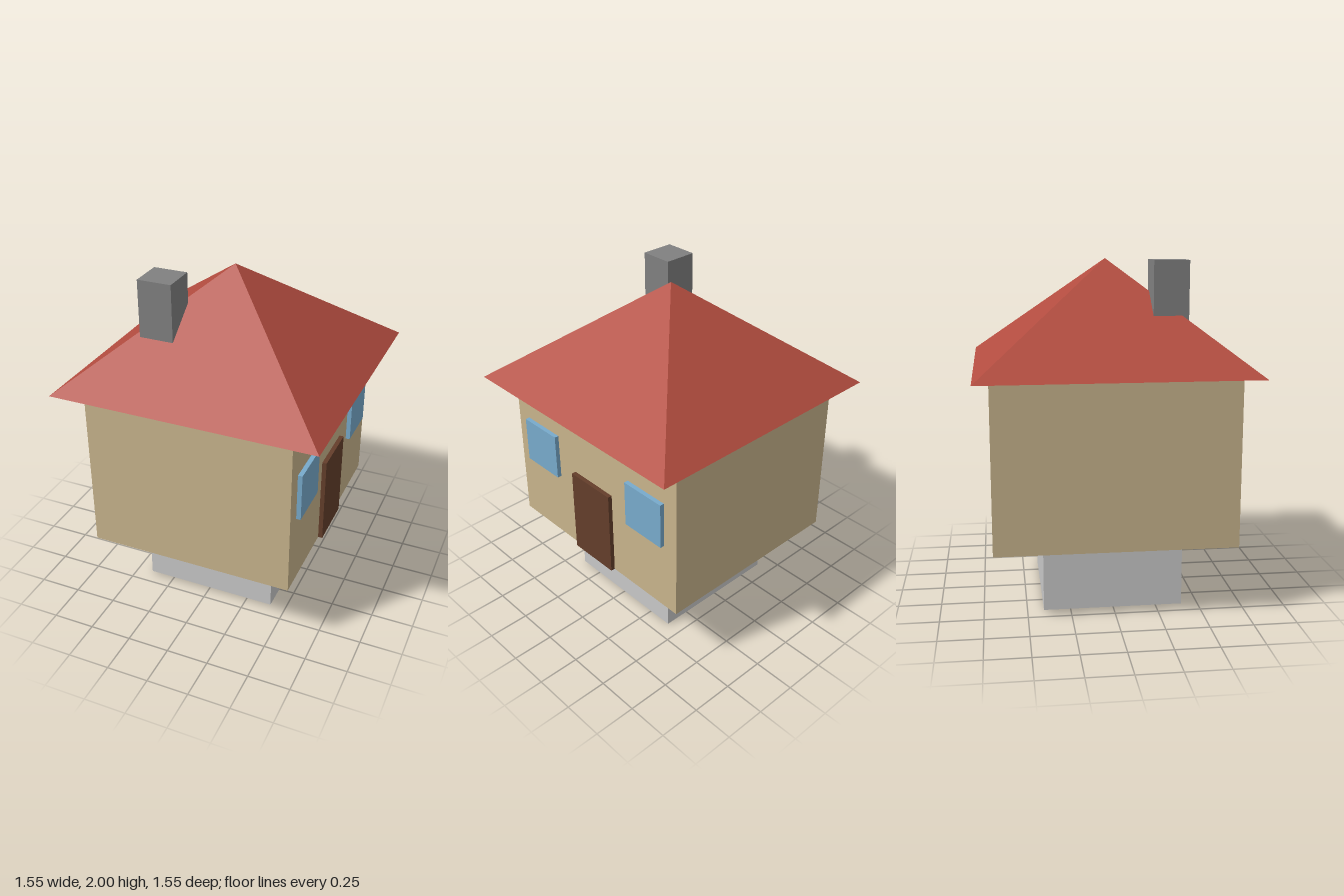
import * as THREE from 'three';

const paint = (name, color) => {
  const m = new THREE.MeshStandardMaterial({ color });
  m.name = name;
  return m;
};

export function createModel() {
  const house = new THREE.Group();
  house.name = 'house';

  const stone = paint('light grey stone', 0xc8c8c8);
  const plaster = paint('tan plaster', 0xc8b48c);
  const tile = paint('red tile', 0xb24c3f);
  const brick = paint('grey brick', 0x808080);
  const glass = paint('blue glass', 0x78aacb);
  const wood = paint('brown wood', 0x643e2b);

  // Box given by its min and max on each axis
  const box = (name, material, [x0, x1], [y0, y1], [z0, z1]) => {
    const mesh = new THREE.Mesh(new THREE.BoxGeometry(x1 - x0, y1 - y0, z1 - z0), material);
    mesh.position.set((x0 + x1) / 2, (y0 + y1) / 2, (z0 + z1) / 2);
    mesh.name = name;
    house.add(mesh);
  };

  box('foundation', stone, [-0.405, 0.405], [0, 0.41], [-0.405, 0.405]);
  box('walls', plaster, [-0.61, 0.61], [0.41, 1.39], [-0.69, 0.69]);

  // Door and windows stand slightly proud of the left wall
  const proud = [0.6, 0.636];
  box('door', wood, proud, [0.41, 0.943], [-0.163, 0.163]);
  box('frontWindow', glass, proud, [0.84, 1.122], [0.308, 0.594]);
  box('backWindow', glass, proud, [0.84, 1.122], [-0.594, -0.308]);

  // Four-sided pyramid roof with a closed underside
  const roofGeometry = new THREE.ConeGeometry(0.777 * Math.SQRT2, 0.61, 4).rotateY(Math.PI / 4).toNonIndexed();
  roofGeometry.computeVertexNormals();
  const roof = new THREE.Mesh(roofGeometry, tile);
  roof.position.y = 1.695;
  roof.name = 'roof';
  house.add(roof);

  // Chimney rises through the hip of the roof
  box('chimney', brick, [-0.387, -0.187], [1.6, 2], [0.225, 0.425]);

  return house;
}
